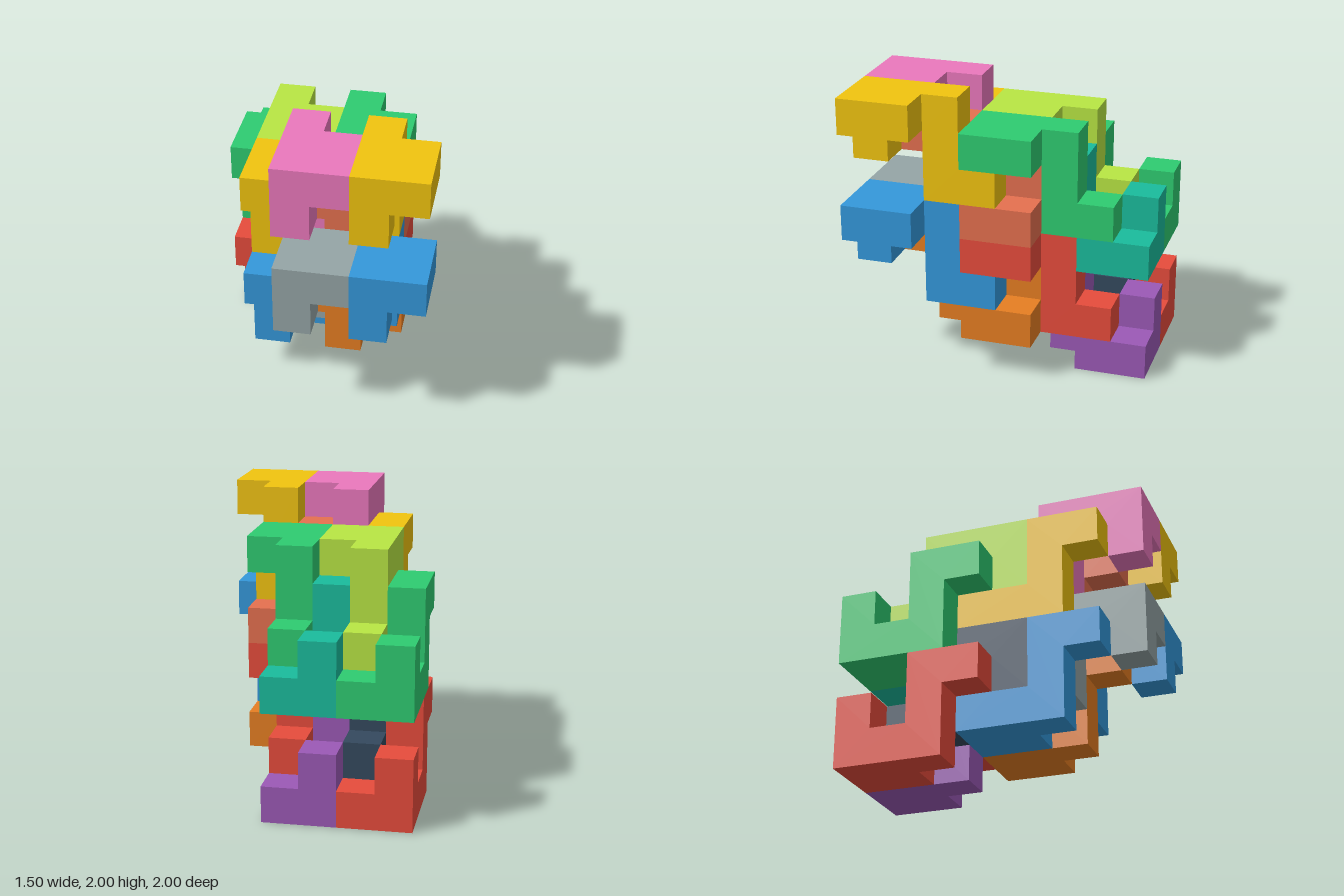
import * as THREE from 'three';

const CELL = 0.25;

// Side outline of one hook piece in cells (z, y)
const OUTLINE = [[0, 0], [2, 0], [2, 2], [3, 2], [3, 1], [4, 1], [4, 3], [1, 3], [1, 1], [0, 1]];

// Pieces of one layer: corner in cells, colour in the lower and upper layer
const PIECES = [
  { name: 'frontRightHook', at: [2, 2, 4], colors: [0x95a5a6, 0xeb78bd] },
  { name: 'frontLeftHook', at: [4, 2, 4], colors: [0x3498db, 0xf1c40f] },
  { name: 'middleRightHook', at: [1, 1, 1], colors: [0x34495e, 0xb8e643] },
  { name: 'middleLeftHook', at: [3, 1, 1], colors: [0xe74c3c, 0x2ecc71] },
  // Turned half a turn about x, interlocking with the others
  { name: 'backRightTurnedHook', at: [0, 3, 4], turned: true, colors: [0xe74c3c, 0x2ecc71] },
  { name: 'backLeftTurnedHook', at: [2, 3, 4], turned: true, colors: [0x9b59b6, 0x1abc9c] },
  { name: 'middleRightTurnedHook', at: [1, 4, 7], turned: true, colors: [0x3498db, 0xf1c40f] },
  { name: 'middleLeftTurnedHook', at: [3, 4, 7], turned: true, colors: [0xe67e22, 0xe5704f] },
];

export function createModel() {
  const model = new THREE.Group();
  model.name = 'interlockingBlocks';

  // Hook: outline one cell thick across x
  const shape = new THREE.Shape(OUTLINE.map(([z, y]) => new THREE.Vector2(z, y)));
  const hookGeometry = new THREE.ExtrudeGeometry(shape, { depth: 1, bevelEnabled: false })
    .rotateY(-Math.PI / 2).translate(1, 0, 0);
  // Tab: widens the end of the hook to a 2 x 2 plate
  const tabGeometry = new THREE.BoxGeometry(1, 1, 2).translate(1.5, 2.5, 3);

  ['lower', 'upper'].forEach((layerName, layer) => {
    const group = new THREE.Group();
    group.name = layerName + 'Layer';
    group.position.y = layer * 3 * CELL;
    for (const { name, at, turned, colors } of PIECES) {
      const material = new THREE.MeshStandardMaterial({ color: colors[layer] });
      const piece = new THREE.Group();
      piece.name = name;
      const hook = new THREE.Mesh(hookGeometry, material);
      hook.name = 'hook';
      const tab = new THREE.Mesh(tabGeometry, material);
      tab.name = 'tab';
      piece.add(hook, tab);
      piece.scale.setScalar(CELL);
      piece.position.set(at[0] - 3, at[1], at[2] - 4).multiplyScalar(CELL);
      if (turned) piece.rotation.x = Math.PI;
      group.add(piece);
    }
    model.add(group);
  });
  return model;
}
